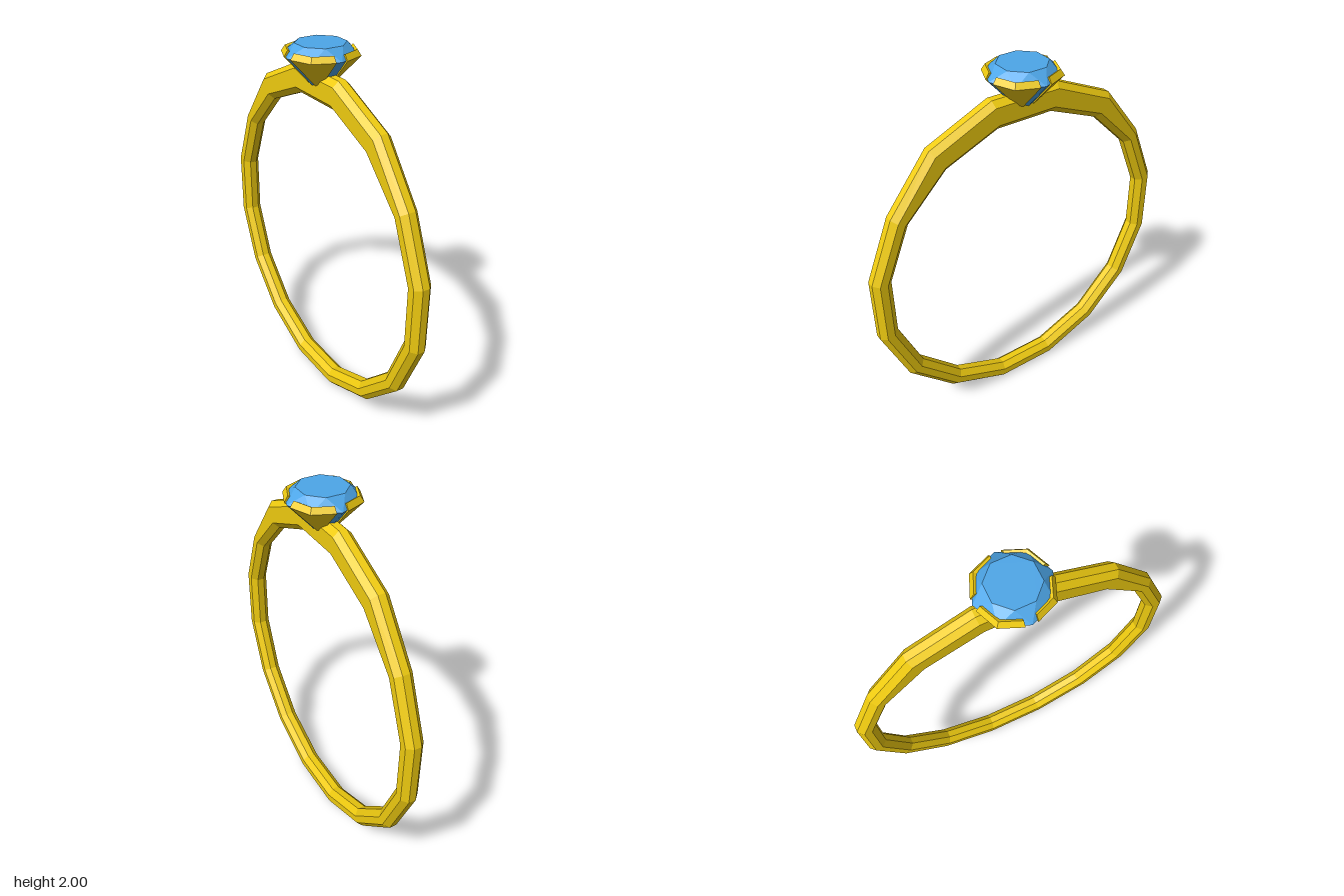
import * as THREE from 'three';

const gold = new THREE.MeshStandardMaterial({ color: 0xf0cc10, flatShading: true });
const blue = new THREE.MeshStandardMaterial({ color: 0x4da6e8, flatShading: true });

// Skins a list of equal-length point loops; optionally joins last to first, else caps both ends.
function loft(rings, closed) {
  const n = rings[0].length, pos = [], idx = [];
  rings.forEach((r) => r.forEach((p) => pos.push(...p)));
  const count = closed ? rings.length : rings.length - 1;
  for (let i = 0; i < count; i++) {
    const a = i * n, b = ((i + 1) % rings.length) * n;
    for (let j = 0; j < n; j++) {
      const k = (j + 1) % n;
      idx.push(a + j, a + k, b + k, a + j, b + k, b + j);
    }
  }
  if (!closed) {
    const e = (rings.length - 1) * n;
    for (let j = 1; j < n - 1; j++) idx.push(0, j + 1, j, e, e + j, e + j + 1);
  }
  const g = new THREE.BufferGeometry();
  g.setAttribute('position', new THREE.Float32BufferAttribute(pos, 3));
  g.setIndex(idx);
  const flat = g.toNonIndexed();
  flat.computeVertexNormals();
  return flat;
}

// Sixteen-sided band with an octagonal section, thickened outward at the top
function bandGeometry() {
  const section = [
    [0.02, 0.92], [0.05, 0.89], [0.05, 0.848], [0.02, 0.816],
    [-0.02, 0.816], [-0.05, 0.848], [-0.05, 0.89], [-0.02, 0.92],
  ];
  const rings = [];
  for (let i = 0; i < 16; i++) {
    const a = ((i + 0.5) * Math.PI) / 8;
    const c = Math.cos(a), s = Math.sin(a);
    const lift = c > 0.9 ? 0.053 : c > 0.7 ? 0.044 : 0;
    rings.push(section.map(([x, r]) => {
      const rr = r > 0.87 ? r + lift : r;
      return [x, 0.905 + rr * c, rr * s];
    }));
  }
  return loft(rings, true);
}

// Eight-sided cut stone: table and girdle are turned against each other
function gemGeometry() {
  const pos = [], idx = [];
  const ring = (r, y, turn) => {
    for (let i = 0; i < 8; i++) {
      const a = ((i + turn) * Math.PI) / 4;
      pos.push(r * Math.sin(a), y, r * Math.cos(a));
    }
  };
  ring(0.035, 1.775, 0);
  ring(0.19, 1.945, 0);
  ring(0.13, 2.0, 0.5);
  for (let i = 0; i < 8; i++) {
    const k = (i + 1) % 8;
    idx.push(i, k, 8 + k, i, 8 + k, 8 + i); // pavilion
    idx.push(8 + i, 8 + k, 16 + i, 8 + k, 16 + k, 16 + i); // crown
  }
  for (let i = 1; i < 7; i++) idx.push(16, 16 + i, 17 + i, 0, i + 1, i);
  const g = new THREE.BufferGeometry();
  g.setAttribute('position', new THREE.Float32BufferAttribute(pos, 3));
  g.setIndex(idx);
  const flat = g.toNonIndexed();
  flat.computeVertexNormals();
  return flat;
}

// One corner claw: a thin profile swept around an octagon corner between two slots
function clawGeometry() {
  const slot = 0.03;
  const profile = [[0.043, 1.775], [0.2, 1.945], [0.18, 1.975], [0.165, 1.967], [0.18, 1.945], [0.043, 1.793]];
  const side = (r) => Math.max(slot, r - slot * Math.tan(Math.PI / 8));
  const rings = [
    profile.map(([r, y]) => [slot, y, side(r)]),
    profile.map(([r, y]) => [r * Math.SQRT1_2, y, r * Math.SQRT1_2]),
    profile.map(([r, y]) => [side(r), y, slot]),
  ];
  // the profile must run the other way for outward faces
  return loft(rings.map((r) => r.reverse()), false);
}

export function createModel() {
  const model = new THREE.Group();
  model.name = 'ring';
  const add = (name, geometry, material, parent = model) => {
    const m = new THREE.Mesh(geometry, material);
    m.name = name;
    parent.add(m);
    return m;
  };

  add('band', bandGeometry(), gold).material.side = THREE.DoubleSide;
  add('gem', gemGeometry(), blue);

  // Setting of four claws
  const setting = new THREE.Group();
  setting.name = 'setting';
  const claw = clawGeometry();
  for (let i = 0; i < 4; i++) add('claw' + (i + 1), claw, gold, setting).rotation.y = (i * Math.PI) / 2;
  model.add(setting);
  return model;
}
